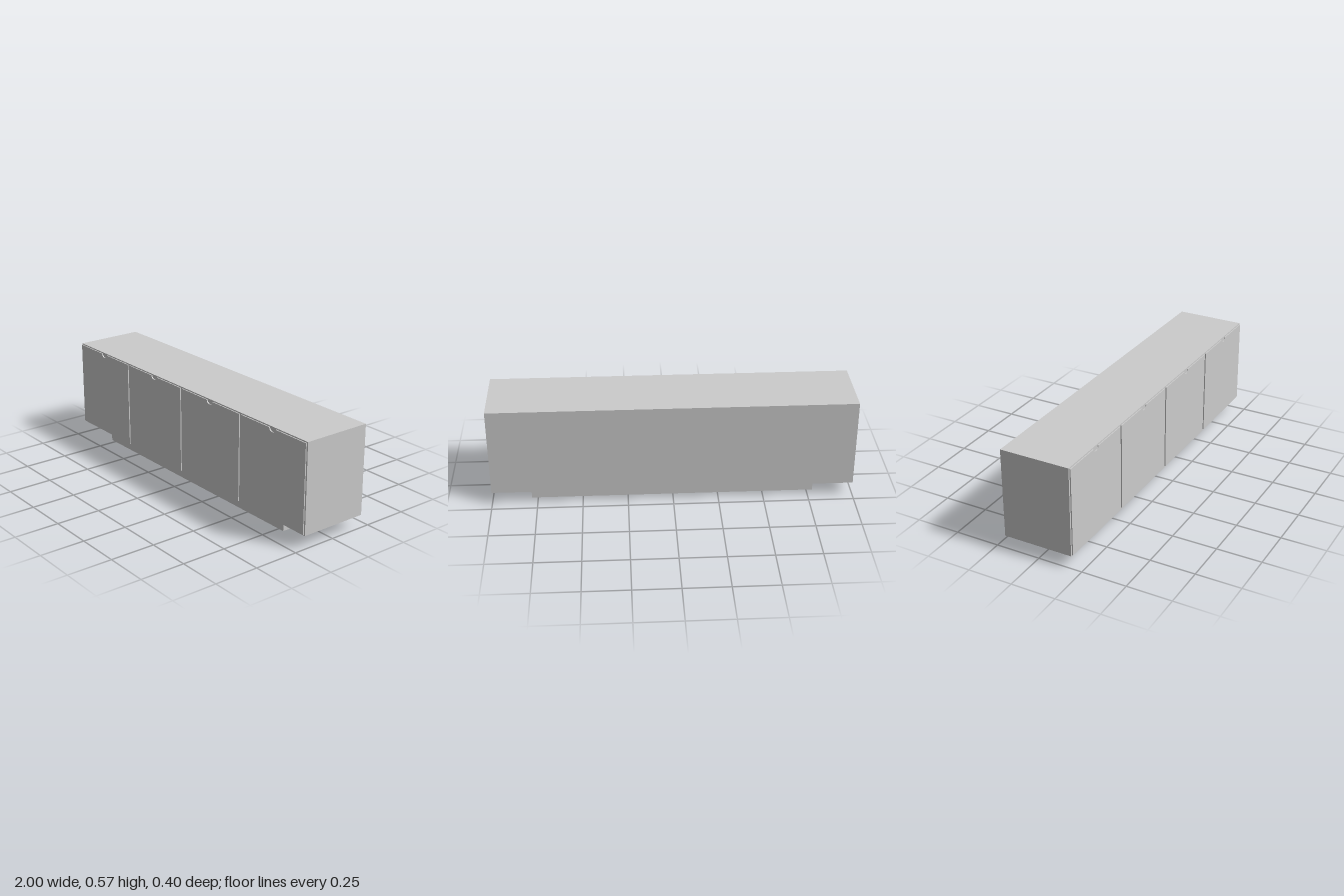
import * as THREE from 'three';

const material = new THREE.MeshStandardMaterial({ color: 0xcccccc, flatShading: true });

function box(name, x0, x1, y0, y1, z0, z1) {
  const mesh = new THREE.Mesh(new THREE.BoxGeometry(x1 - x0, y1 - y0, z1 - z0), material);
  mesh.position.set((x0 + x1) / 2, (y0 + y1) / 2, (z0 + z1) / 2);
  mesh.name = name;
  return mesh;
}

// Door panel with a rounded finger notch cut into its top edge
function doorGeometry(width, height, depth) {
  const w = width / 2, r = 0.024, notchDepth = 0.02, steps = 6;
  const shape = new THREE.Shape();
  shape.moveTo(-w, 0);
  shape.lineTo(w, 0);
  shape.lineTo(w, height);
  for (let i = 0; i <= steps; i++) {
    const a = (i / steps) * Math.PI;
    shape.lineTo(r * Math.cos(a), height - notchDepth * Math.sin(a));
  }
  shape.lineTo(-w, height);
  shape.closePath();
  return new THREE.ExtrudeGeometry(shape, { depth, bevelEnabled: false });
}

export function createModel() {
  const group = new THREE.Group();
  group.name = 'sideboard';

  // Cabinet body on a recessed plinth
  group.add(box('cabinetBody', -1, 1, 0.073, 0.573, -0.198, 0.191));
  group.add(box('plinth', -0.785, 0.785, 0, 0.0725, -0.145, 0.14));

  // Four equal doors with narrow gaps, standing just off the front
  const geometry = doorGeometry(0.487, 0.489, 0.006);
  for (let i = 0; i < 4; i++) {
    const door = new THREE.Mesh(geometry, material);
    door.name = `door${i + 1}`;
    door.position.set(-0.75 + i * 0.5, 0.078, 0.1925);
    group.add(door);
  }
  return group;
}
